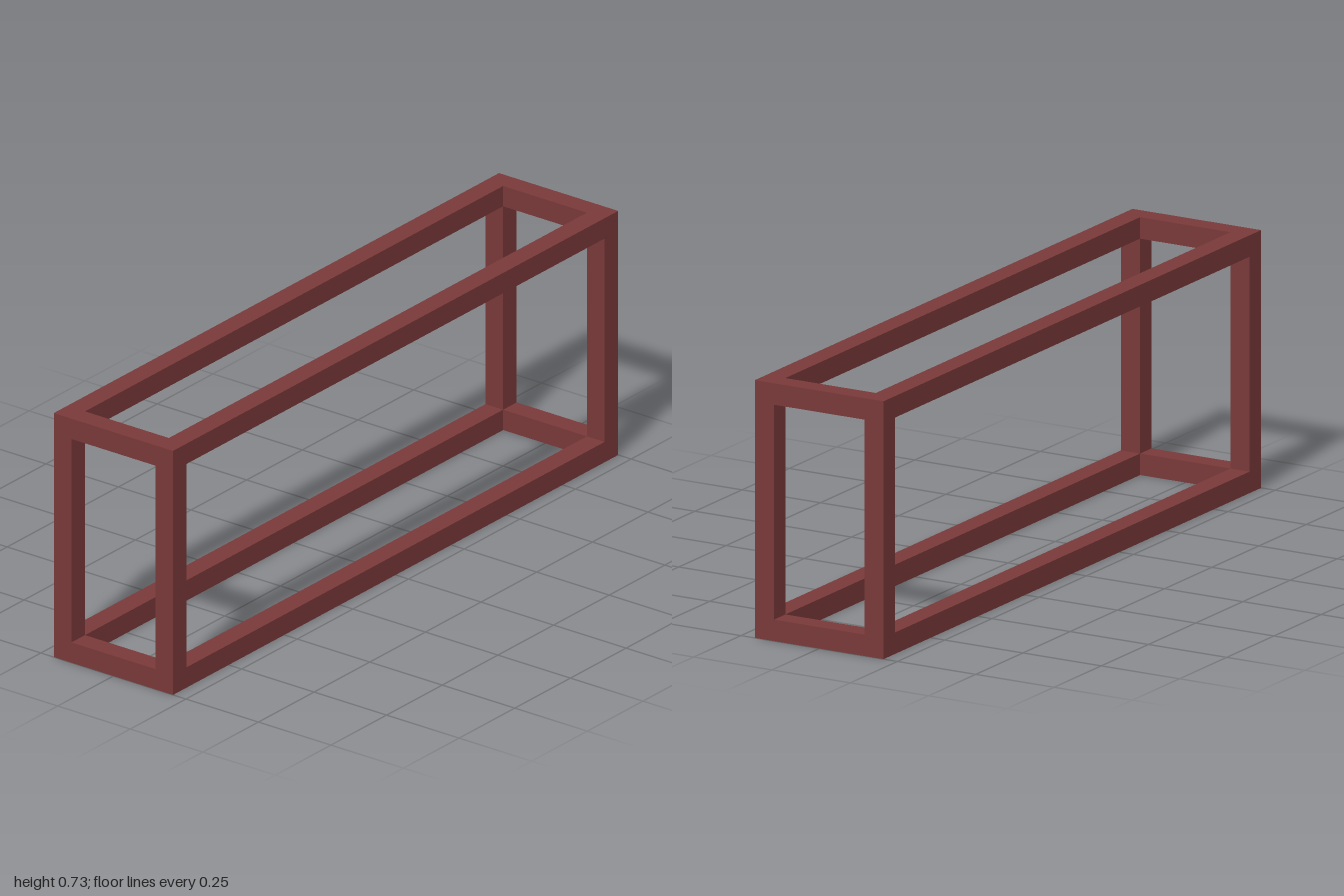
import * as THREE from 'three';

const W = 0.411, H = 0.733, L = 2, T = 0.061; // overall size and bar thickness

export function createModel() {
  const group = new THREE.Group();
  const material = new THREE.MeshStandardMaterial({ color: 0x7a3939 });

  const bar = (name, w, h, l, x, y, z) => {
    const mesh = new THREE.Mesh(new THREE.BoxGeometry(w, h, l), material);
    mesh.name = name;
    mesh.position.set(x, y, z);
    group.add(mesh);
  };

  const cx = (W - T) / 2, cz = (L - T) / 2;
  const levels = [['bottom', T / 2], ['top', H - T / 2]];

  // Four corner posts
  for (const [side, sx] of [['Left', 1], ['Right', -1]])
    for (const [end, sz] of [['front', 1], ['back', -1]])
      bar(`${end}${side}Post`, T, H, T, sx * cx, H / 2, sz * cz);

  // Long and short rails fitted between the posts
  for (const [level, y] of levels) {
    for (const [side, sx] of [['Left', 1], ['Right', -1]])
      bar(`${level}${side}Rail`, T, T, L - 2 * T, sx * cx, y, 0);
    for (const [end, sz] of [['Front', 1], ['Back', -1]])
      bar(`${level}${end}Rail`, W - 2 * T, T, T, 0, y, sz * cz);
  }

  return group;
}
